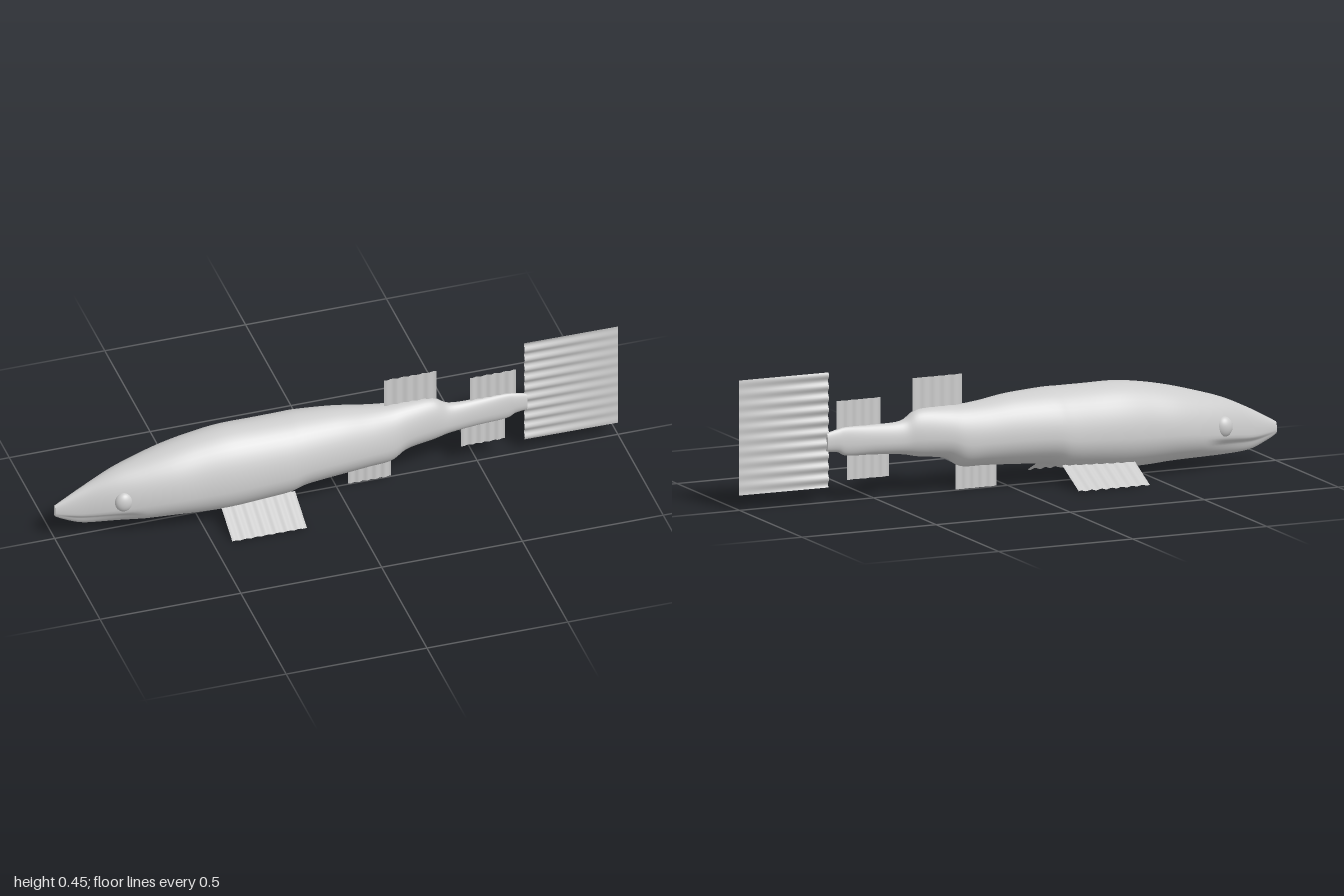
import * as THREE from 'three';

// Body sections: x, bottom y, top y, half width, mouth indentation
const SECTIONS = [
  [-1, 0.092, 0.135, 0.01, 0],
  [-0.97, 0.075, 0.152, 0.018, 0.15],
  [-0.9, 0.047, 0.19, 0.037, 0.35],
  [-0.8, 0.039, 0.236, 0.07, 0.25],
  [-0.7, 0.038, 0.268, 0.096, 0],
  [-0.6, 0.036, 0.295, 0.114, 0],
  [-0.5, 0.03, 0.315, 0.122, 0],
  [-0.4, 0.029, 0.327, 0.128, 0],
  [-0.28, 0.038, 0.327, 0.128, 0],
  [-0.19, 0.047, 0.327, 0.128, 0],
  [-0.13, 0.066, 0.327, 0.124, 0],
  [0, 0.075, 0.318, 0.109, 0],
  [0.1, 0.08, 0.303, 0.094, 0],
  [0.18, 0.083, 0.295, 0.08, 0],
  [0.24, 0.116, 0.295, 0.066, 0],
  [0.34, 0.13, 0.29, 0.048, 0],
  [0.4, 0.142, 0.257, 0.035, 0],
  [0.5, 0.15, 0.253, 0.026, 0],
  [0.6, 0.154, 0.253, 0.018, 0],
  [0.635, 0.169, 0.248, 0.016, 0],
  [0.675, 0.174, 0.238, 0.012, 0],
];

// Lofted egg-shaped body with flat snout and tail ends
function bodyGeometry(steps = 120, sides = 48) {
  const heights = new THREE.CatmullRomCurve3(SECTIONS.map(s => new THREE.Vector3(s[0], s[1], s[2])), false, 'catmullrom');
  const widths = new THREE.CatmullRomCurve3(SECTIONS.map(s => new THREE.Vector3(s[3], s[4], 0)), false, 'catmullrom');
  const positions = [], index = [];
  const addRing = t => {
    const h = heights.getPoint(t), w = widths.getPoint(t);
    const first = positions.length / 3;
    const mid = h.y + 0.4 * (h.z - h.y);
    for (let j = 0; j < sides; j++) {
      const a = (j / sides) * Math.PI * 2, s = Math.sin(a);
      const y = mid + s * (s > 0 ? h.z - mid : mid - h.y);
      const inset = 1 - Math.max(0, w.y) * THREE.MathUtils.smoothstep(-s, 0.2, 0.42);
      positions.push(h.x, y, w.x * Math.cos(a) * inset);
    }
    return { first, x: h.x, mid };
  };
  for (let i = 0; i <= steps; i++) {
    addRing(i / steps);
    if (i === steps) break;
    for (let j = 0; j < sides; j++) {
      const k = (j + 1) % sides, a = i * sides, b = a + sides;
      index.push(a + j, b + j, a + k, b + j, b + k, a + k);
    }
  }
  for (const t of [0, 1]) {
    const ring = addRing(t), centre = positions.length / 3;
    positions.push(ring.x, ring.mid, 0);
    for (let j = 0; j < sides; j++) {
      const p = ring.first + j, q = ring.first + (j + 1) % sides;
      index.push(centre, t ? q : p, t ? p : q);
    }
  }
  const g = new THREE.BufferGeometry();
  g.setAttribute('position', new THREE.Float32BufferAttribute(positions, 3));
  g.setIndex(index);
  g.computeVertexNormals();
  return g;
}

// Thin rectangular fin; rays(u, v) gives the sideways ripple
function finGeometry(x0, x1, y0, y1, rays) {
  const g = new THREE.PlaneGeometry(x1 - x0, y1 - y0, 60, 80);
  g.translate((x0 + x1) / 2, (y0 + y1) / 2, 0);
  const p = g.attributes.position;
  for (let i = 0; i < p.count; i++) {
    p.setZ(i, rays((p.getX(i) - x0) / (x1 - x0), (p.getY(i) - y0) / (y1 - y0)));
  }
  g.computeVertexNormals();
  return g;
}

export function createModel() {
  const model = new THREE.Group();
  model.name = 'fish';
  const skin = new THREE.MeshStandardMaterial({ color: 0xcccccc, side: THREE.DoubleSide });
  skin.name = 'pale grey';
  const add = (name, geometry) => {
    const mesh = new THREE.Mesh(geometry, skin);
    mesh.name = name;
    model.add(mesh);
    return mesh;
  };

  add('body', bodyGeometry());

  // Upright fins with rays running up and down
  const upright = u => 0.002 * Math.sin(u * Math.PI * 10);
  add('firstDorsalFin', finGeometry(0.17, 0.355, 0.27, 0.4, upright));
  add('secondDorsalFin', finGeometry(0.475, 0.638, 0.235, 0.345, upright));
  add('ventralFin', finGeometry(0.042, 0.195, 0.002, 0.1, upright));
  add('analFin', finGeometry(0.443, 0.6, 0.07, 0.17, upright));

  // Tail rays run lengthwise and flatten towards the rear edge
  add('tailFin', finGeometry(0.668, 1, 0.05, 0.447,
    (u, v) => 0.004 * (1 - 0.8 * u) * Math.sin(v * Math.PI * 20) + 0.003 * u));

  // Paired fins slope outward and down; eyes sit on both sides of the head
  for (const side of [1, -1]) {
    const label = side > 0 ? 'Front' : 'Back';
    const fin = finGeometry(-0.435, -0.17, -0.132, 0.015, u => 0.0025 * Math.sin(u * Math.PI * 14));
    add('pelvicFin' + label, fin).position.set(0, 0.06, side * 0.086);
    model.children.at(-1).rotation.x = -side * 1.115;

    const eye = add('eye' + label, new THREE.SphereGeometry(1, 32, 24));
    eye.scale.set(0.032, 0.036, 0.024);
    eye.position.set(-0.775, 0.147, side * 0.066);
  }
  return model;
}
